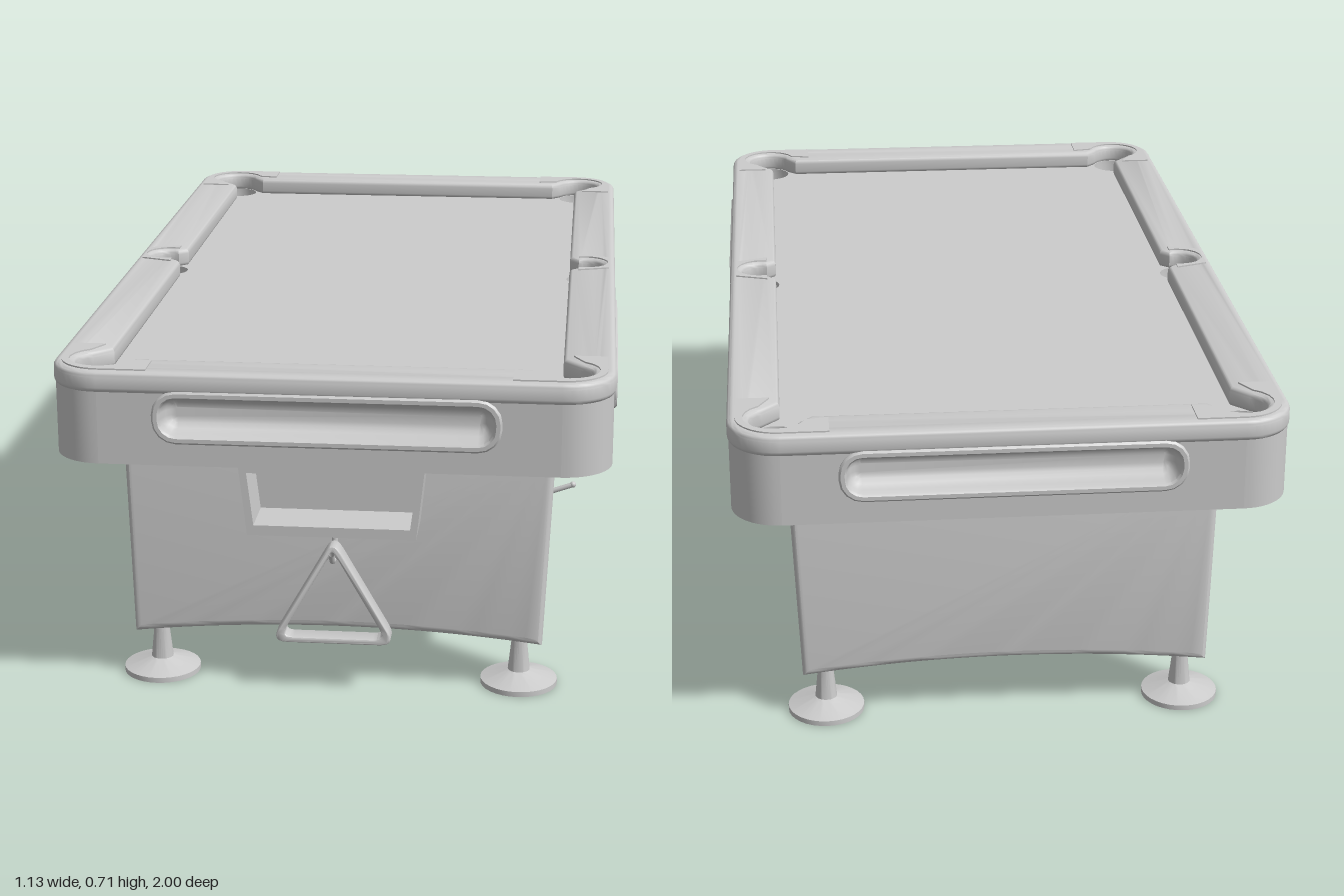
import * as THREE from 'three';
import { toCreasedNormals } from 'three/addons/utils/BufferGeometryUtils.js';

const material = new THREE.MeshStandardMaterial({ color: 0xcccccc, side: THREE.DoubleSide });
const V2 = (x, y) => new THREE.Vector2(x, y);
const V3 = (x, y, z) => new THREE.Vector3(x, y, z);
const rad = THREE.MathUtils.degToRad;

function add(parent, name, geometry) {
  const mesh = new THREE.Mesh(geometry, material);
  mesh.name = name;
  parent.add(mesh);
  return mesh;
}

// Extrusion with optional inward bevel, smooth across gentle angles
function extrude(outline, holes, depth, bevel = 0) {
  const shape = new THREE.Shape(outline);
  shape.holes = holes.map((h) => new THREE.Path(h));
  const g = new THREE.ExtrudeGeometry(shape, {
    depth: depth - 2 * bevel, bevelEnabled: bevel > 0, bevelSize: bevel,
    bevelThickness: bevel, bevelOffset: -bevel, bevelSegments: 4, steps: 1,
  });
  g.translate(0, 0, bevel);
  return toCreasedNormals(g, 0.6);
}

// Same, lying flat with its bottom at y
const slab = (outline, holes, y, height, bevel) =>
  extrude(outline, holes, height, bevel).rotateX(-Math.PI / 2).translate(0, y, 0);

function arc(cx, cy, r, from, to, n = 12) {
  return Array.from({ length: n + 1 }, (_, i) => {
    const a = rad(from + ((to - from) * i) / n);
    return V2(cx + r * Math.cos(a), cy + r * Math.sin(a));
  });
}

function roundRect(w, h, r, n = 10) {
  return [[1, 1, 0], [-1, 1, 90], [-1, -1, 180], [1, -1, 270]].flatMap(([sx, sy, a]) =>
    arc(sx * (w - r), sy * (h - r), r, a, a + 90, n));
}

function roundPoly(points, r) {
  return points.flatMap((p, i) => {
    const toward = (q) => p.clone().add(q.clone().sub(p).setLength(r));
    const a = toward(points.at(i - 1)), b = toward(points[(i + 1) % points.length]);
    return new THREE.QuadraticBezierCurve(a, p, b).getPoints(6);
  });
}

// Raised rim and sunken dish lofted from shrinking outlines [inset, z]
function windowGeometry(w, h) {
  const rows = [[0, -0.01], [0, 0.004], [0.004, 0.008], [0.012, 0.008], [0.016, 0.003],
    [0.018, -0.012], [0.024, -0.027], [0.033, -0.036], [0.043, -0.039]];
  const pos = [], index = [];
  const n = 20;
  rows.forEach(([inset, z]) => {
    roundRect(w - inset, h - inset, Math.max(0.048 - inset, 0.004), 4)
      .forEach((p) => pos.push(p.x, p.y, z));
  });
  for (let j = 0; j < rows.length - 1; j++) {
    for (let i = 0; i < n; i++) {
      const a = j * n + i, b = j * n + ((i + 1) % n);
      index.push(a, b, b + n, a, b + n, a + n);
    }
  }
  const last = (rows.length - 1) * n;
  for (let i = 1; i < n - 1; i++) index.push(last, last + i, last + i + 1);
  const g = new THREE.BufferGeometry();
  g.setAttribute('position', new THREE.Float32BufferAttribute(pos, 3));
  g.setIndex(index);
  return toCreasedNormals(g, 0.6);
}

// Wall with a framed window; local +z faces outward
function wall(parent, name, width, distance, angle, windowX, windowW) {
  const group = new THREE.Group();
  group.name = name;
  const rect = [V2(-width, 0.52), V2(width, 0.52), V2(width, 0.69), V2(-width, 0.69)];
  const hole = roundRect(windowW - 0.01, 0.044, 0.038, 4).map((p) => V2(p.x + windowX, p.y + 0.62));
  add(group, name + 'Panel', extrude(rect, [hole], 0.02)).position.z = distance - 0.02;
  add(group, name + 'Window', windowGeometry(windowW, 0.054)).position.set(windowX, 0.62, distance);
  group.rotation.y = angle;
  parent.add(group);
}

export function createModel() {
  const table = new THREE.Group();
  table.name = 'poolTable';
  const signs = [[1, 1], [-1, 1], [-1, -1], [1, -1]];

  // Cabinet
  const cabinet = new THREE.Group();
  cabinet.name = 'cabinet';
  table.add(cabinet);
  wall(cabinet, 'frontWall', 0.457, 0.992, 0, -0.003, 0.345);
  wall(cabinet, 'backWall', 0.457, 0.992, Math.PI, 0, 0.345);
  wall(cabinet, 'leftWall', 0.892, 0.557, Math.PI / 2, -0.43, 0.282);
  wall(cabinet, 'rightWall', 0.892, 0.557, -Math.PI / 2, -0.43, 0.282);
  signs.forEach(([sx, sz], i) => {
    const outline = [...arc(0, 0, 0.1, i * 90, i * 90 + 90), ...arc(0, 0, 0.08, i * 90 + 90, i * 90)];
    const corner = add(cabinet, 'cabinetCorner', slab(outline, [], 0.52, 0.17));
    corner.position.set(sx * 0.457, 0, -sz * 0.892);
  });
  add(cabinet, 'cabinetFloor', slab(roundRect(0.556, 0.991, 0.1), [], 0.52, 0.012));

  // Playing bed with six pockets
  const pockets = [...signs.map(([sx, sz]) => [sx * 0.465, sz * 0.897, 0.05]),
    [0.49, 0, 0.042], [-0.49, 0, 0.042]];
  const bedHoles = pockets.map(([x, z, r]) => arc(x, z, r, 0, 345, 23));
  add(table, 'bed', slab(roundRect(0.54, 0.975, 0.08), bedHoles, 0.662, 0.008));
  pockets.forEach(([x, z, r]) => {
    const cup = [V2(0, 0.57), V2(r * 0.7, 0.575), V2(r, 0.6), V2(r, 0.669)];
    add(table, 'pocketCup', new THREE.LatheGeometry(cup, 24)).position.set(x, 0, z);
  });

  // Rail: inner edge follows cushions and pocket jaws, mirrored from one quarter
  const quarter = [...arc(0.49, 0, 0.042, 0, 110, 8), V2(0.455, 0.06), V2(0.455, 0.815),
    ...arc(0.465, 0.897, 0.05, -60, 160, 16), V2(0.395, 0.89)];
  const flip = (sx, sz, pts) => pts.map((p) => V2(p.x * sx, p.y * sz));
  const inner = [...quarter, ...flip(-1, 1, quarter).reverse(),
    ...flip(-1, -1, quarter).slice(1), ...flip(1, -1, quarter).reverse().slice(0, -1)];
  add(table, 'rail', slab(roundRect(0.56, 0.996, 0.103), [inner], 0.665, 0.045, 0.012));

  // Thin cover plates around pockets
  const cornerPlate = [V2(0.36, 0.91), V2(0.36, 0.98), ...arc(0.457, 0.893, 0.087, 90, 0),
    V2(0.544, 0.8), V2(0.475, 0.8), ...arc(0.465, 0.897, 0.064, -60, 160)];
  const sidePlate = [V2(0.475, 0.075), V2(0.546, 0.05), V2(0.546, -0.05), V2(0.475, -0.075),
    ...arc(0.49, 0, 0.054, -105, 105)];
  signs.forEach(([sx, sz]) =>
    add(table, 'cornerPlate', slab(flip(sx, sz, cornerPlate), [], 0.706, 0.007)));
  [1, -1].forEach((s) => add(table, 'sidePlate', slab(flip(s, 1, sidePlate), [], 0.706, 0.007)));

  // Splayed panel legs with arched bottom, and levelling feet
  const arch = new THREE.QuadraticBezierCurve(V2(-0.425, 0.1), V2(0, 0.15), V2(0.425, 0.1)).getPoints(24);
  const footProfile = [V2(0, 0), V2(0.08, 0), V2(0.08, 0.011), V2(0.03, 0.027), V2(0.023, 0.03),
    V2(0.015, 0.105), V2(0.015, 0.14)];
  [1, -1].forEach((s) => {
    const g = extrude([...arch, V2(0.446, 0.54), V2(-0.446, 0.54)], [], 0.094, 0.015);
    const p = g.attributes.position;
    for (let i = 0; i < p.count; i++) {
      p.setZ(i, p.getZ(i) - 0.047 + 0.765 + (0.52 - p.getY(i)) * 0.083);
    }
    const leg = add(table, s > 0 ? 'frontLeg' : 'backLeg', toCreasedNormals(g, 0.6));
    leg.rotation.y = s > 0 ? 0 : Math.PI;
    [1, -1].forEach((side) => {
      const foot = new THREE.LatheGeometry(footProfile, 32);
      add(table, 'foot', toCreasedNormals(foot, 0.5)).position.set(side * 0.377, 0, s * 0.798);
    });
  });

  // Open ball tray under the front
  const trayOuter = [V2(-0.168, 0.365), V2(0.172, 0.365), V2(0.19, 0.525), V2(-0.186, 0.525)];
  const trayInner = [V2(-0.155, 0.386), V2(0.16, 0.386), V2(0.174, 0.496), V2(-0.168, 0.496)];
  add(table, 'ballTray', extrude(trayOuter, [trayInner], 0.113)).position.z = 0.84;
  add(table, 'ballTrayBack', extrude(trayOuter, [], 0.01)).position.z = 0.838;

  // Triangle rack on its hook
  const triangle = [V2(-0.13, 0.108), V2(0.13, 0.108), V2(0, 0.336)];
  const hole = triangle.map((p) => V2(p.x * 0.84, 0.183 + (p.y - 0.183) * 0.84));
  add(table, 'triangleRack', extrude(roundPoly(triangle, 0.035), [roundPoly(hole, 0.027)], 0.043, 0.003))
    .position.set(-0.003, 0, 0.847);
  const rackHook = new THREE.CatmullRomCurve3([V3(0, 0.37, 0.843), V3(0, 0.31, 0.843),
    V3(0, 0.293, 0.855), V3(0, 0.29, 0.89), V3(0, 0.31, 0.905)]);
  add(table, 'rackHook', new THREE.TubeGeometry(rackHook, 24, 0.006, 8)).position.x = -0.003;

  // Cue hooks hanging under the bed
  [0.41, -0.355].forEach((z) => [1, -1].forEach((s) => {
    const path = new THREE.CurvePath();
    const [a, b, c, d] = [V3(s * 0.29, 0.525, z), V3(s * 0.385, 0.285, z),
      V3(s * 0.405, 0.279, z), V3(s * 0.478, 0.305, z)];
    path.add(new THREE.LineCurve3(a, b));
    path.add(new THREE.QuadraticBezierCurve3(b, V3(s * 0.39, 0.273, z), c));
    path.add(new THREE.LineCurve3(c, d));
    add(table, 'cueHook', new THREE.TubeGeometry(path, 40, 0.006, 8));
    add(table, 'cueHookTip', new THREE.SphereGeometry(0.007, 10, 8)).position.copy(d);
  }));

  return table;
}
